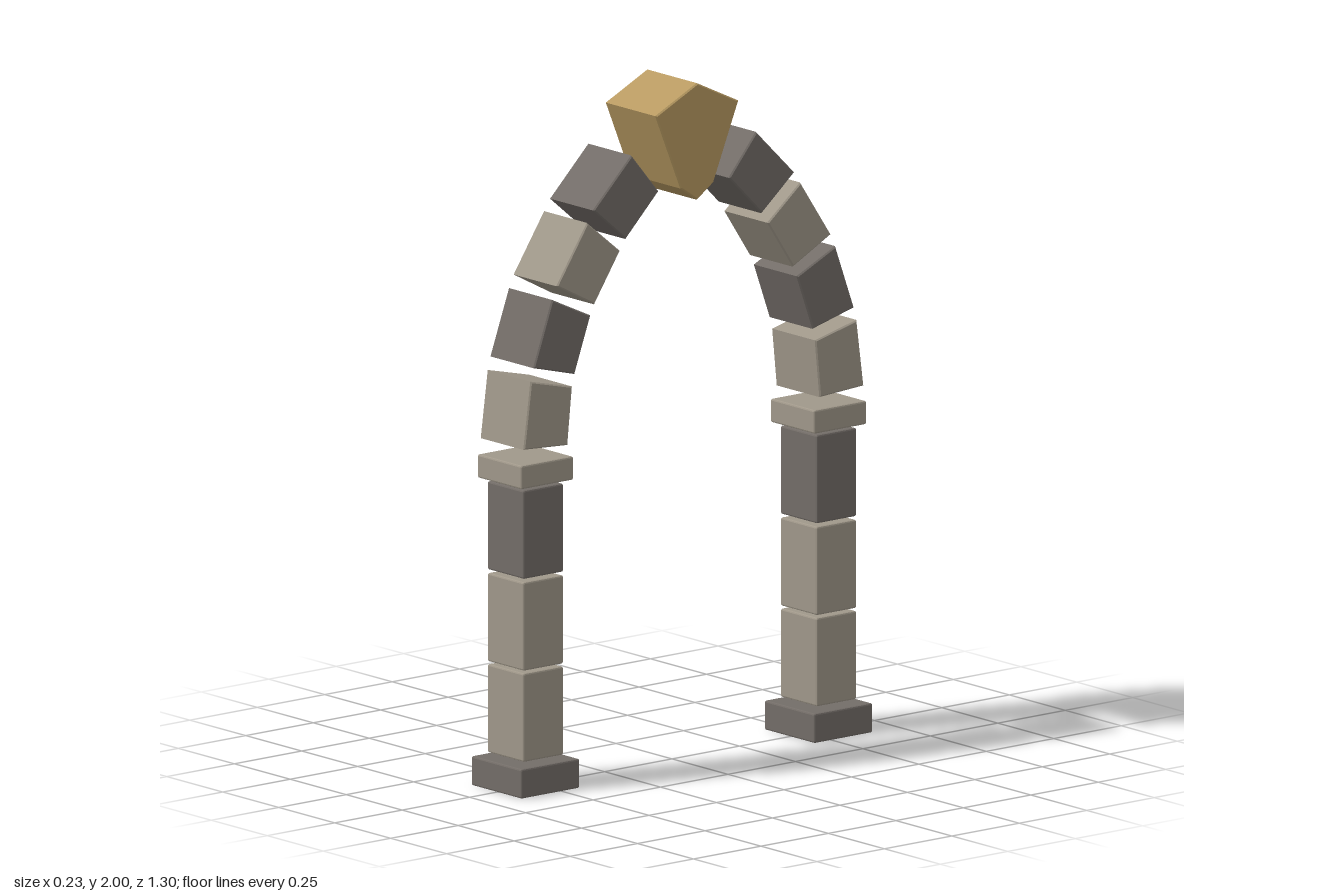
import * as THREE from 'three';
import { RoundedBoxGeometry } from 'three/addons/geometries/RoundedBoxGeometry.js';

const BEVEL = 0.004;

export function createModel() {
  const group = new THREE.Group();
  const material = (name, color) => {
    const m = new THREE.MeshStandardMaterial({ color });
    m.name = name;
    return m;
  };
  const light = material('light stone', 0xa0988a);
  const dark = material('dark stone', 0x736d68);
  const gold = material('sandstone', 0xb89a62);

  const add = (parent, name, geometry, mat) => {
    const mesh = new THREE.Mesh(geometry, mat);
    mesh.name = name;
    parent.add(mesh);
    return mesh;
  };

  // Chamfered rectangular block resting between two heights
  const block = (parent, name, width, depth, y0, y1, z, mat) => {
    const geo = new RoundedBoxGeometry(width, y1 - y0, depth, 1, 0.005);
    geo.computeVertexNormals();
    add(parent, name, geo, mat).position.set(0, (y0 + y1) / 2, z);
  };

  // Wedge stone: outline given as [z, y], extruded across x
  const wedge = (parent, name, outline, width, side, mat) => {
    const shape = new THREE.Shape(outline.map(([z, y]) => new THREE.Vector2(-z * side, y)));
    const geo = new THREE.ExtrudeGeometry(shape, {
      depth: width - 2 * BEVEL,
      bevelEnabled: true,
      bevelThickness: BEVEL,
      bevelSize: BEVEL,
      bevelOffset: -BEVEL,
      bevelSegments: 1,
    });
    geo.translate(0, 0, -width / 2 + BEVEL);
    geo.rotateY(Math.PI / 2);
    add(parent, name, geo, mat);
  };

  // Arch stones from springing to crown
  const archStones = [
    [[0.604, 1.213], [0.45, 1.176], [0.467, 1.007], [0.63, 1.017]],
    [[0.525, 1.441], [0.382, 1.374], [0.441, 1.211], [0.594, 1.251]],
    [[0.395, 1.647], [0.273, 1.547], [0.368, 1.404], [0.508, 1.478]],
    [[0.231, 1.82], [0.13, 1.7], [0.252, 1.578], [0.373, 1.68]],
  ];

  for (const side of [1, -1]) {
    const half = new THREE.Group();
    half.name = side > 0 ? 'frontHalf' : 'backHalf';
    group.add(half);

    // Pillar
    const z = 0.543 * side;
    block(half, 'plinth', 0.224, 0.216, 0, 0.086, z, dark);
    block(half, 'lowerPillarBlock', 0.162, 0.148, 0.097, 0.356, z, light);
    block(half, 'middlePillarBlock', 0.162, 0.148, 0.364, 0.623, z, light);
    block(half, 'upperPillarBlock', 0.162, 0.148, 0.633, 0.892, z, dark);
    block(half, 'capital', 0.196, 0.194, 0.902, 0.971, z, light);

    // Curved half of the arch
    archStones.forEach((outline, i) =>
      wedge(half, `archStone${i + 1}`, outline, 0.198, side, i % 2 ? dark : light));
  }

  // Keystone
  wedge(group, 'keystone', [
    [0, 2], [0.154, 1.926], [0.061, 1.7], [0, 1.658], [-0.061, 1.7], [-0.154, 1.926],
  ], 0.228, 1, gold);

  return group;
}
